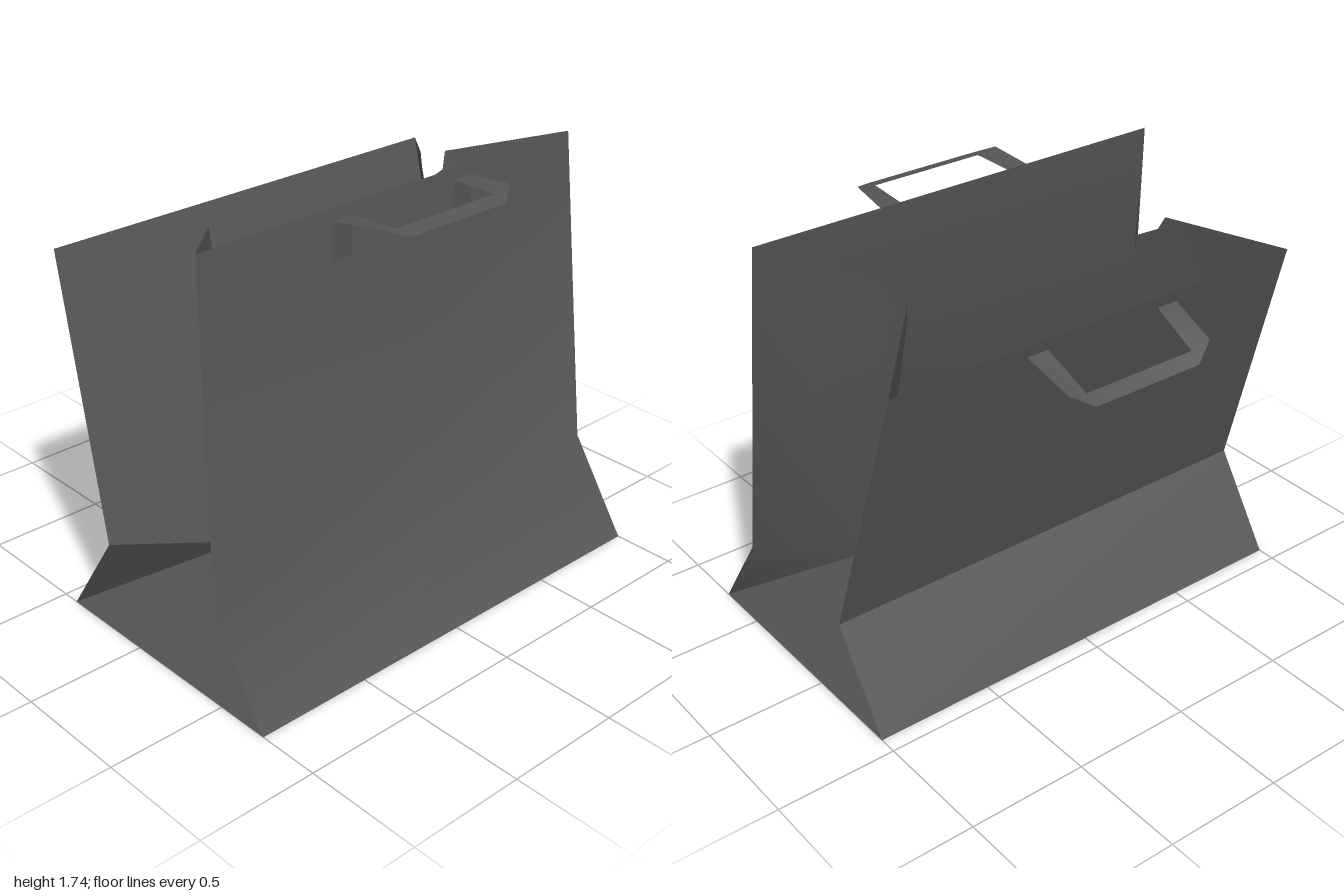
import * as THREE from 'three';
import { toCreasedNormals } from 'three/addons/utils/BufferGeometryUtils.js';

const paper = new THREE.MeshStandardMaterial({ color: 0x555555, side: THREE.DoubleSide });
paper.name = 'darkGreyPaper';

// Sheet made of convex or star-shaped faces, each fanned from its first corner
function sheet(name, faces) {
  const pos = [];
  for (const f of faces)
    for (let i = 1; i < f.length - 1; i++) pos.push(...f[0], ...f[i], ...f[i + 1]);
  const g = new THREE.BufferGeometry();
  g.setAttribute('position', new THREE.Float32BufferAttribute(pos, 3));
  const mesh = new THREE.Mesh(toCreasedNormals(g, Math.PI / 6), paper);
  mesh.name = name;
  return mesh;
}

// Mirror faces across z, keeping them facing outward
const mirrorZ = (faces) => faces.map((f) => f.map(([x, y, z]) => [x, y, -z]).reverse());

// Wide panel: profile points [x, y, half width] from the bottom up
function widePanel(name, profile, side) {
  const faces = [];
  for (let i = 0; i < profile.length - 1; i++) {
    const [x0, y0, w0] = profile[i], [x1, y1, w1] = profile[i + 1];
    const f = [[x0, y0, w0], [x0, y0, -w0], [x1, y1, -w1], [x1, y1, w1]];
    faces.push(side > 0 ? f : f.reverse());
  }
  return sheet(name, faces);
}

// Strap handle: glued tabs, two arms and a cross bar with cut corners
function handle(name, { tab, start, corner, inner, outer }) {
  const at = ([x, y], z) => [x, y, z];
  const half = [
    [at(tab, 0.26), at(tab, 0.355), at(start, 0.355), at(start, 0.26)],
    [at(start, 0.26), at(start, 0.355), at(corner, 0.335), at(inner, 0.25)],
    [at(inner, 0.25), at(corner, 0.335), at(outer, 0.245)],
    [at(inner, 0.25), at(outer, 0.245), at(outer, 0), at(inner, 0)],
  ];
  return sheet(name, [...half, ...mirrorZ(half)]);
}

export function createModel() {
  const bag = new THREE.Group();
  bag.name = 'paperBag';

  // Profiles of the two wide walls, leaning to one side
  const low = [[-0.425, 0, 1], [-0.165, 0.39, 1], [-0.485, 1.5, 0.94]];
  const high = [[0.735, 0, 1], [0.475, 0.39, 1], [0.365, 1.74, 0.94]];
  bag.add(widePanel('rightPanel', low, -1), widePanel('leftPanel', high, 1));

  // Bottom
  const [a, b] = [low[0][0], high[0][0]];
  bag.add(sheet('bottom', [[[a, 0, -1], [b, 0, -1], [b, 0, 1], [a, 0, 1]]]));

  // Folded narrow sides, with a notch at the rim
  const apex = [0.155, 0.39, 0.61];
  const foldTop = [-0.04, 1.51, 0.55];
  const gusset = [
    [low[0], high[0], apex],
    [low[0], apex, low[1]],
    [high[0], high[1], apex],
    [low[1], apex, foldTop, [-0.105, 1.545, 0.6], [-0.13, 1.6, 0.615], low[2]],
    [high[1], high[2], [0.015, 1.645, 0.605], [0.015, 1.57, 0.595], foldTop, apex],
  ];
  bag.add(sheet('frontGusset', gusset), sheet('backGusset', mirrorZ(gusset)));

  // Handles
  bag.add(handle('leftHandle', {
    tab: [0.39, 1.55], start: [0.395, 1.71], corner: [0.6, 1.733],
    inner: [0.605, 1.715], outer: [0.67, 1.7],
  }));
  bag.add(handle('rightHandle', {
    tab: [-0.443, 1.3], start: [-0.488, 1.46], corner: [-0.695, 1.39],
    inner: [-0.69, 1.37], outer: [-0.738, 1.335],
  }));
  return bag;
}
